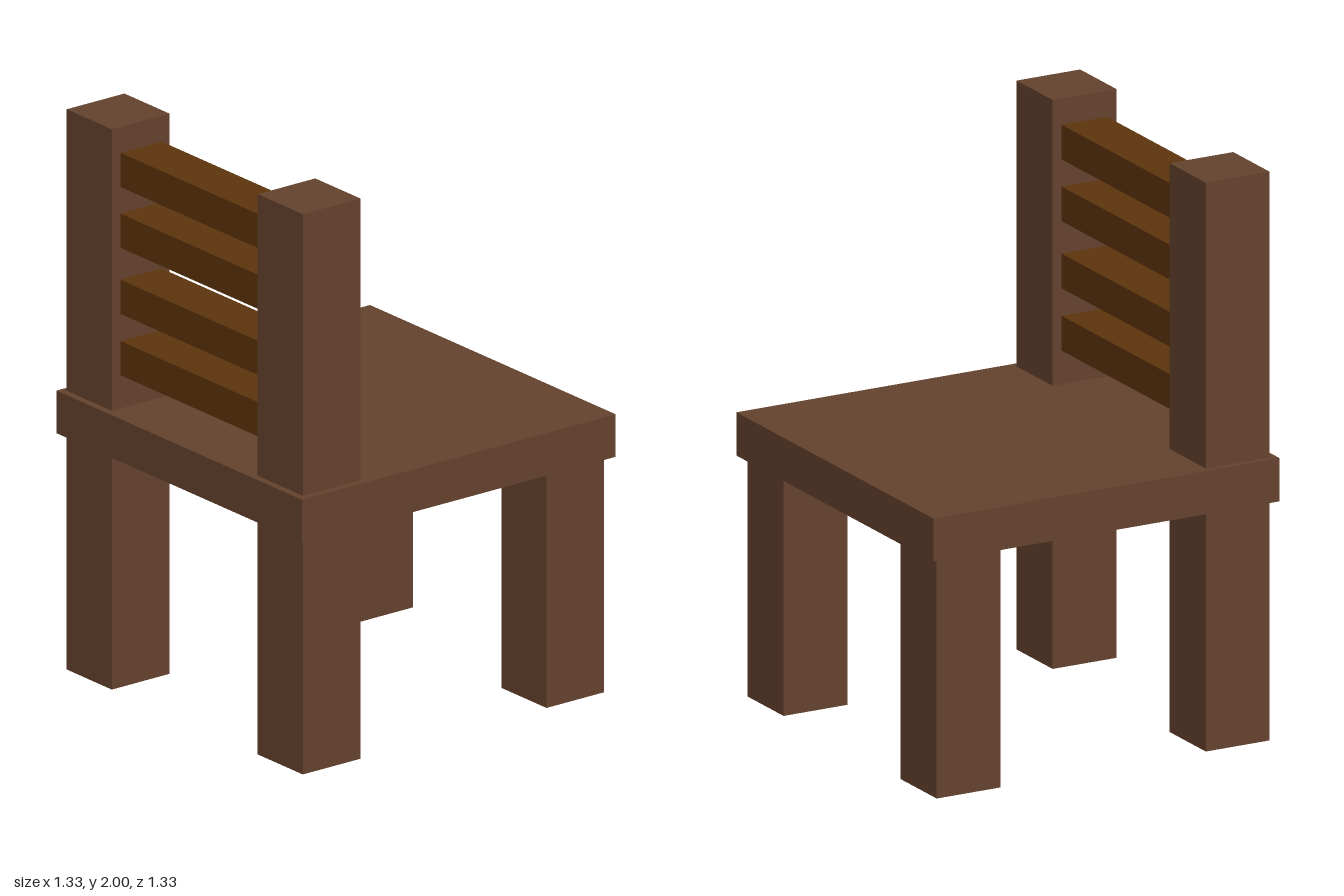
import * as THREE from 'three';

export function createModel() {
  const chair = new THREE.Group();
  chair.name = 'chair';

  const wood = new THREE.MeshStandardMaterial({ color: 0x64422d });
  wood.name = 'brown wood';
  const slatWood = new THREE.MeshStandardMaterial({ color: 0x5d340c });
  slatWood.name = 'golden brown wood';

  const addBox = (name, material, [w, h, d], [x, y, z]) => {
    const mesh = new THREE.Mesh(new THREE.BoxGeometry(w, h, d), material);
    mesh.name = name;
    mesh.position.set(x, y, z);
    chair.add(mesh);
  };

  const seatBottom = 0.843, seatTop = 0.995;
  const post = 0.245, inset = 0.518;

  // Square seat; the chair faces +x
  addBox('seat', wood, [1.333, seatTop - seatBottom, 1.333], [0, (seatTop + seatBottom) / 2, 0]);

  // Four legs, with back posts above the rear pair
  for (const side of [-1, 1]) {
    const z = side * inset - 0.003;
    addBox('frontLeg', wood, [post, seatBottom, post], [inset, seatBottom / 2, z]);
    addBox('backLeg', wood, [post, seatBottom, post], [-inset, seatBottom / 2, z]);
    addBox('backPost', wood, [post, 2 - seatTop, post], [-inset, (2 + seatTop) / 2, z]);
  }

  // Four slats between the back posts
  for (const y of [1.175, 1.394, 1.63, 1.847]) {
    addBox('backSlat', slatWood, [0.175, 0.122, 0.8], [-0.517, y, -0.003]);
  }

  return chair;
}
